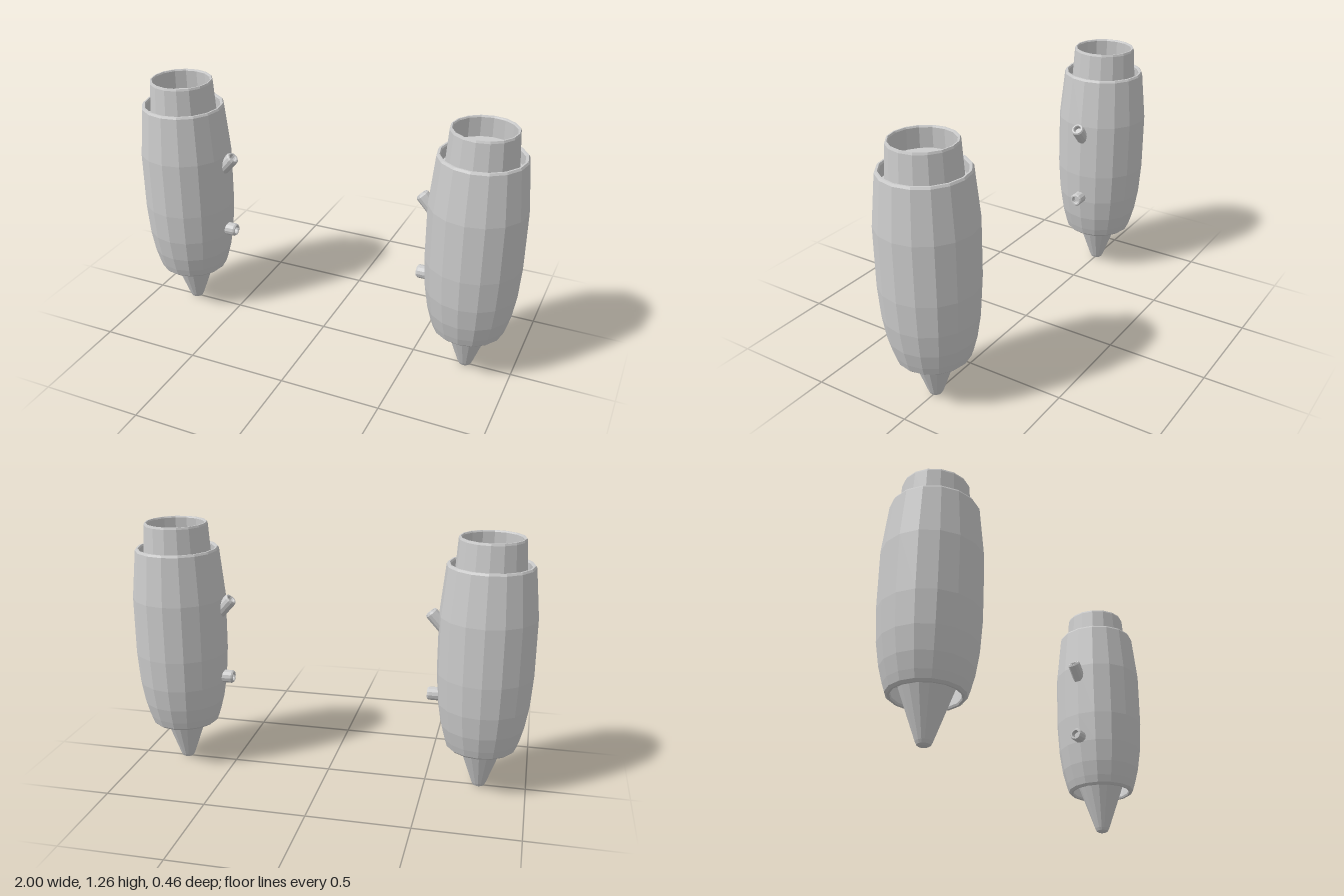
import * as THREE from 'three';

const material = new THREE.MeshStandardMaterial({ color: 0xcccccc, flatShading: true, side: THREE.DoubleSide });

// Faceted solid of revolution from [radius, height] pairs
function turned(name, profile, sides) {
  const points = profile.map(([r, y]) => new THREE.Vector2(r, y));
  const mesh = new THREE.Mesh(new THREE.LatheGeometry(points, sides), material);
  mesh.name = name;
  return mesh;
}

// Short hollow pipe whose mouth sits at (x, y), tilted up by the given angle
function stubPipe(name, x, y, tilt, length) {
  const pipe = turned(name, [
    [0.033, -length], [0.033, -0.008], [0.028, 0], [0.021, 0],
    [0.018, -0.006], [0.018, -0.025], [0, -0.025],
  ], 12);
  pipe.position.set(x, y, 0);
  pipe.rotation.z = tilt - Math.PI / 2;
  return pipe;
}

function createPod(name) {
  const pod = new THREE.Group();
  pod.name = name;

  // Barrel-shaped shell, with rolled lips and recesses at both ends
  pod.add(turned('shell', [
    [0, 0.3], [0.165, 0.3], [0.148, 0.225], [0.152, 0.216], [0.162, 0.215], [0.173, 0.225],
    [0.185, 0.262], [0.204, 0.335], [0.221, 0.445], [0.231, 0.6], [0.231, 0.885],
    [0.206, 1.125], [0.2, 1.135], [0.192, 1.135], [0.187, 1.127], [0.19, 1.07], [0, 1.07],
  ], 16));

  // Open collar at the top
  pod.add(turned('collar', [
    [0.168, 1.07], [0.156, 1.25], [0.152, 1.26], [0.146, 1.26], [0.142, 1.253],
    [0.145, 1.16], [0, 1.16],
  ], 16));

  // Blunt cone at the bottom
  pod.add(turned('tailCone', [
    [0, 0], [0.02, 0], [0.03, 0.006], [0.037, 0.02], [0.106, 0.215], [0.136, 0.3],
  ], 16));

  // Pipes on the inward side
  pod.add(stubPipe('upperPipe', 0.272, 0.885, THREE.MathUtils.degToRad(48), 0.13));
  pod.add(stubPipe('lowerPipe', 0.272, 0.47, 0, 0.09));
  return pod;
}

export function createModel() {
  const model = new THREE.Group();
  model.name = 'twinPods';
  const right = createPod('rightPod');
  right.position.x = -0.769;
  const left = createPod('leftPod');
  left.position.x = 0.769;
  left.rotation.y = Math.PI;
  model.add(right, left);
  return model;
}
